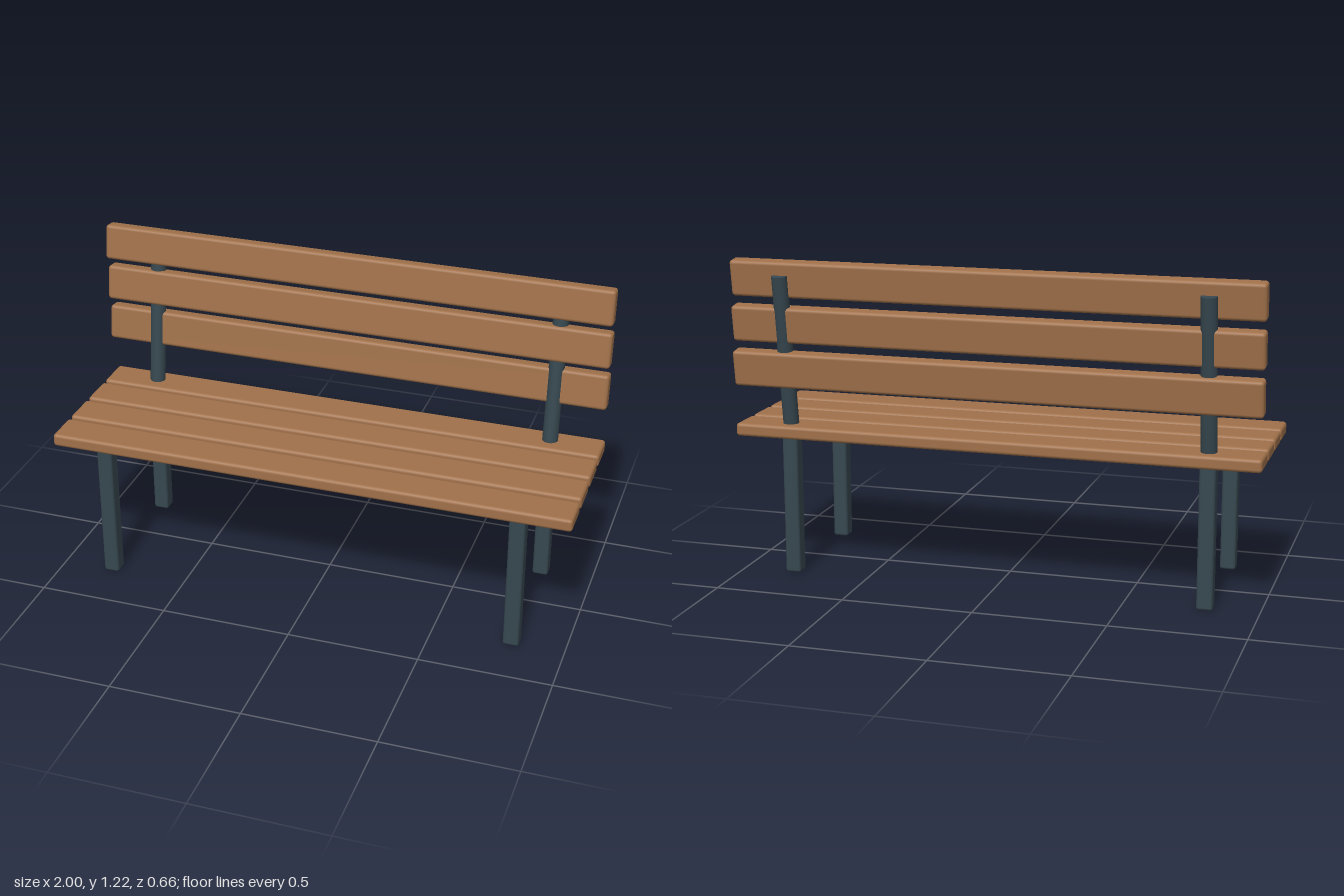
import * as THREE from 'three';
import { RoundedBoxGeometry } from 'three/addons/geometries/RoundedBoxGeometry.js';

const TILT = 0.13; // backward lean of the backrest, radians

export function createModel() {
  const bench = new THREE.Group();
  bench.name = 'bench';
  const wood = new THREE.MeshStandardMaterial({ color: 0xa0714a });
  const metal = new THREE.MeshStandardMaterial({ color: 0x36474f });

  const add = (name, geometry, material, x, y, z, tilt = 0) => {
    const mesh = new THREE.Mesh(geometry, material);
    mesh.name = name;
    mesh.position.set(x, y, z);
    mesh.rotation.x = -tilt;
    bench.add(mesh);
  };

  // Seat: four flat planks with narrow gaps
  const seatPlank = new RoundedBoxGeometry(2, 0.05, 0.14, 3, 0.013);
  for (let i = 0; i < 4; i++) {
    add('seatPlank', seatPlank, wood, 0, 0.562, 0.26 - i * 0.16);
  }

  // Backrest: three leaning planks stacked straight above one another
  const backPlank = new RoundedBoxGeometry(2, 0.137, 0.06, 3, 0.013);
  for (let i = 0; i < 3; i++) {
    add('backPlank', backPlank, wood, 0, 0.803 + i * 0.171, -0.265, TILT);
  }

  // Square legs and round leaning back posts, mirrored left and right
  const leg = new RoundedBoxGeometry(0.06, 0.55, 0.06, 3, 0.01);
  const post = new THREE.CylinderGeometry(0.03, 0.03, 0.76, 20);
  for (const x of [-0.8, 0.8]) {
    add('frontLeg', leg, metal, x, 0.275, 0.282);
    add('backLeg', leg, metal, x, 0.275, -0.218);
    add('backPost', post, metal, x, 0.783, -0.249, TILT);
  }
  return bench;
}
